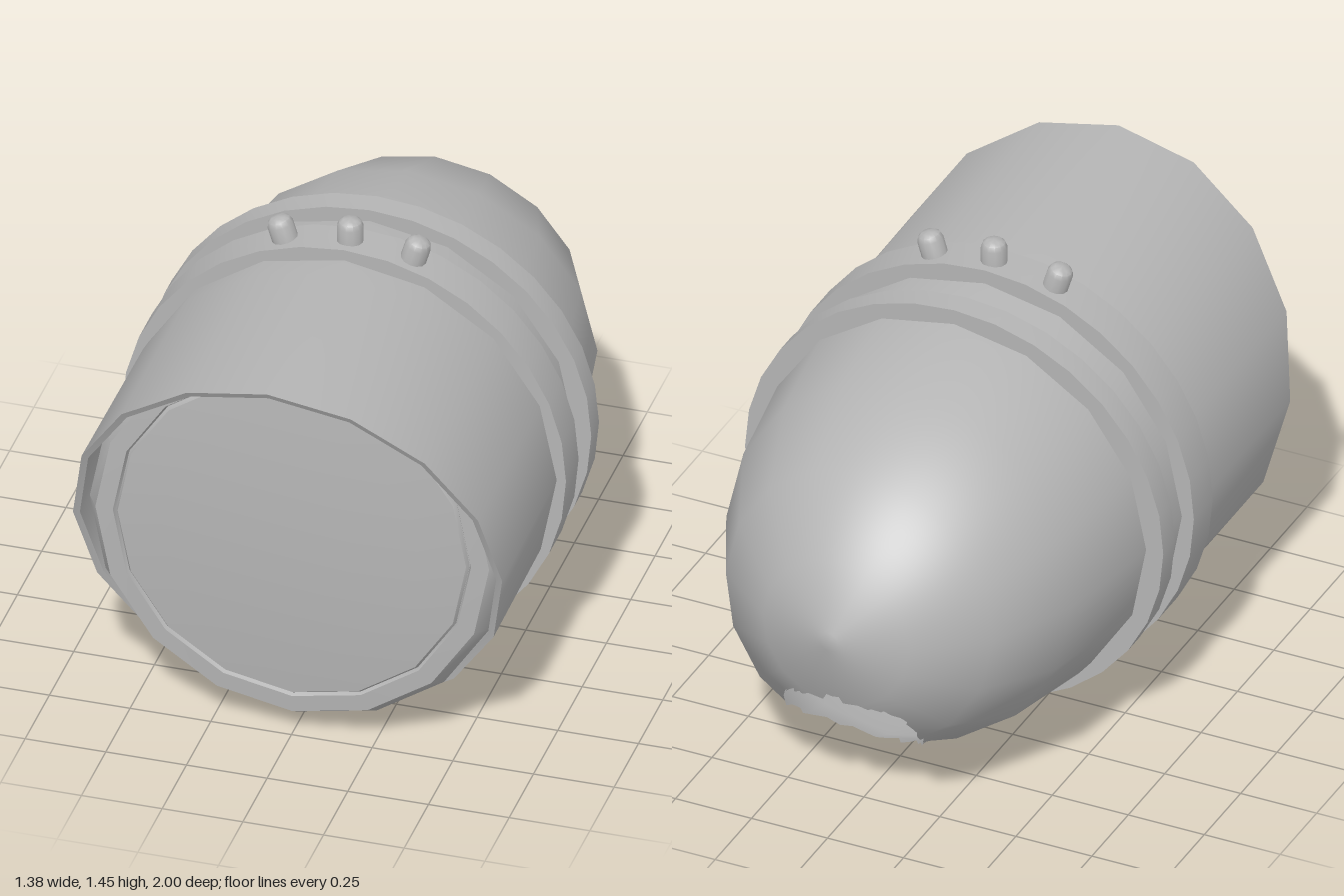
import * as THREE from 'three';
import { toCreasedNormals } from 'three/addons/utils/BufferGeometryUtils.js';

const AXIS_Y = 0.69, SIDES = 16;
const grey = new THREE.MeshStandardMaterial({ color: 0xb4b4b4, side: THREE.DoubleSide });
grey.name = 'plain grey';

function add(parent, geometry, name) {
  const mesh = new THREE.Mesh(geometry, grey);
  mesh.name = name;
  parent.add(mesh);
  return mesh;
}

// Turned part: profile of [radius, position along the axis]
function turned(profile, sides) {
  const points = profile.map(([r, a]) => new THREE.Vector2(r, a));
  return toCreasedNormals(new THREE.LatheGeometry(points, sides), 0.65);
}

// Shell rings: [radius, z at the axis, lean of the ring with height]
const RINGS = [
  [0.645, 0.42, 0.2], [0.645, 0.785, 0.316],
  [0.665, 0.79, 0.316], [0.66, 0.22, 0.13], [0.63, -0.15, 0.12],
  [0.57, -0.505, 0.12], [0.44, -0.78, 0.115], [0.24, -0.94, 0.08], [0, -1, 0],
];

function ringGrid(rings) {
  const pos = [], index = [];
  rings.forEach(([r, z, lean], j) => {
    for (let i = 0; i < SIDES; i++) {
      const a = i / SIDES * Math.PI * 2, y = r * Math.sin(a);
      pos.push(r * Math.cos(a), y, z + lean * y);
      if (j === rings.length - 1) continue;
      const k = (i + 1) % SIDES, p = j * SIDES, q = p + SIDES;
      index.push(p + i, q + i, q + k, p + i, q + k, p + k);
    }
  });
  const g = new THREE.BufferGeometry();
  g.setAttribute('position', new THREE.Float32BufferAttribute(pos, 3));
  g.setIndex(index);
  g.computeVertexNormals();
  return g;
}

// Outer shell: refined ring grid with a round port cut in the lower back
function shellGeometry(rings) {
  const coarse = ringGrid(rings), N = 8;
  const read = (attr, j, i) => new THREE.Vector3().fromBufferAttribute(attr, j * SIDES + i % SIDES);
  const centre = new THREE.Vector3(0, 0.33 - AXIS_Y, -0.81);
  const dir = new THREE.Vector3(0, -0.69, -0.724).normalize(), R = 0.22;
  const pos = [], nor = [];

  const sample = (attr, j, i, u, v) => {
    const near = read(attr, j, i).lerp(read(attr, j, i + 1), u);
    return near.lerp(read(attr, j + 1, i).lerp(read(attr, j + 1, i + 1), u), v);
  };
  const vertex = (j, i, u, v) => {
    const p = sample(coarse.attributes.position, j, i, u, v);
    const n = sample(coarse.attributes.normal, j, i, u, v);
    if (j === rings.length - 2 && v === 1) n.set(0, 0, -1);
    n.normalize();
    const rel = p.clone().sub(centre), along = rel.dot(dir);
    const radial = rel.addScaledVector(dir, -along);
    const inside = along > -0.3 && radial.length() < R;
    if (inside) p.copy(centre).addScaledVector(dir, along).add(radial.setLength(R));
    return { p, n, inside };
  };
  const triangle = (...t) => {
    if (t.every(v => v.inside)) return;
    t.forEach(v => { pos.push(...v.p); nor.push(...v.n); });
  };

  for (let j = 0; j < rings.length - 1; j++)
    for (let i = 0; i < SIDES; i++)
      for (let s = 0; s < N; s++)
        for (let t = 0; t < N; t++) {
          const a = vertex(j, i, s / N, t / N), b = vertex(j, i, (s + 1) / N, t / N);
          const c = vertex(j, i, (s + 1) / N, (t + 1) / N), d = vertex(j, i, s / N, (t + 1) / N);
          triangle(a, d, c);
          triangle(a, c, b);
        }
  const g = new THREE.BufferGeometry();
  g.setAttribute('position', new THREE.Float32BufferAttribute(pos, 3));
  g.setAttribute('normal', new THREE.Float32BufferAttribute(nor, 3));
  return g;
}

export function createModel() {
  const model = new THREE.Group();
  model.name = 'housing';
  const body = new THREE.Group();
  body.name = 'body';
  body.position.y = AXIS_Y;
  model.add(body);

  // Shell with slanted hood, and the hood's lining and lip
  add(body, shellGeometry(RINGS.slice(2)), 'shell');
  add(body, toCreasedNormals(ringGrid(RINGS.slice(0, 3)), 0.65), 'hoodLining');

  // Lens holder with chamfered rim, and the shallow lens
  const holder = [[0, 0.45], [0.638, 0.45], [0.643, 0.69], [0.61, 0.742], [0.555, 0.745], [0.548, 0.73]];
  add(body, turned(holder, SIDES).rotateX(Math.PI / 2), 'lensHolder');
  const lens = [[0.548, 0.735], [0.54, 0.746], [0.4, 0.759], [0.2, 0.769], [0, 0.772]];
  add(body, turned(lens, SIDES).rotateX(Math.PI / 2), 'lens');

  // Two clamp bands
  const band = (z0, z1, name) =>
    add(body, turned([[0.61, z0], [0.688, z0], [0.688, z1], [0.61, z1]], 32).rotateX(Math.PI / 2), name);
  band(0.08, 0.21, 'frontBand');
  band(-0.13, -0.05, 'rearBand').scale.y = 0.973;

  // Three knobs on the front band
  const knob = turned([[0.04, 0.66], [0.04, 0.735], [0.034, 0.75], [0.022, 0.759], [0, 0.762]], 12);
  [0.3, 0, -0.29].forEach(angle => {
    const mesh = add(body, knob, 'knob');
    mesh.position.z = 0.145;
    mesh.rotation.z = angle;
  });

  return model;
}
